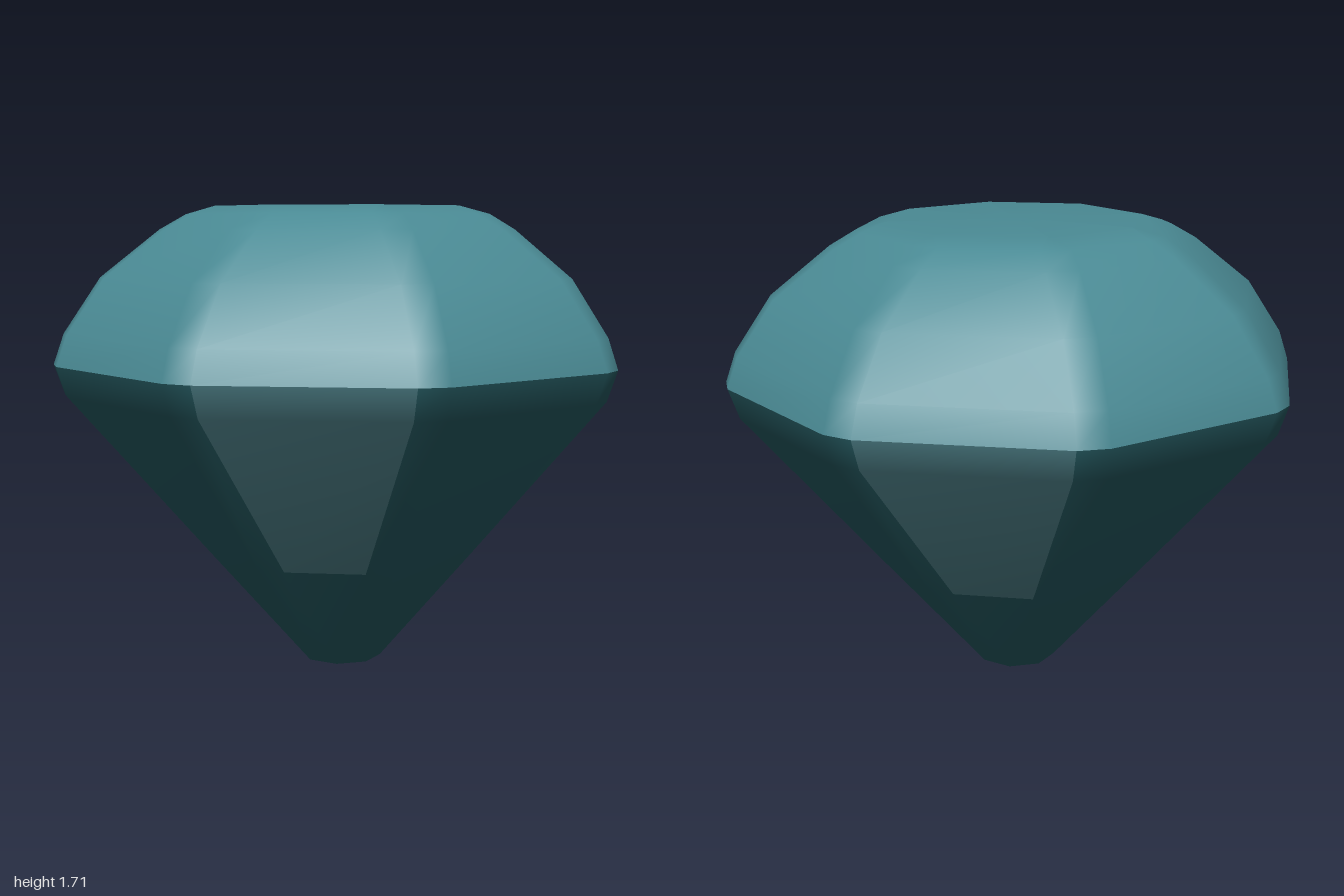
import * as THREE from 'three';

const crownTeal = new THREE.MeshStandardMaterial({ name: 'crownTeal', color: 0x4a8a94 });
const deepTeal = new THREE.MeshStandardMaterial({ name: 'deepTeal', color: 0x265c63 });
const panelTeal = new THREE.MeshStandardMaterial({ name: 'panelTeal', color: 0x4d7f87 });

const BEVEL = 0.06; // how far each facet edge is trimmed at the eight corners
const HALF = Math.tan(Math.PI / 8);

// Sixteen points of an octagon with trimmed corners
function ring([apothem, y, bevel = BEVEL]) {
  const points = [];
  const w = HALF * apothem - bevel;
  for (let k = 0; k < 8; k++) {
    const s = Math.sin(k * Math.PI / 4), c = Math.cos(k * Math.PI / 4);
    for (const side of [-w, w]) points.push(s * apothem + c * side, y, c * apothem - s * side);
  }
  return points;
}

// Skins rings from bottom to top, closes one end, and sorts faces into two materials.
// Large facets dominate the shared normals, so bevels blend softly between them.
function facetedShell(name, profile, capRing, materials, isPanel) {
  const positions = profile.flatMap(ring);
  const faces = [[], []];
  for (let j = 0; j < profile.length - 1; j++) {
    for (let i = 0; i < 16; i++) {
      const a = j * 16 + i, b = j * 16 + (i + 1) % 16;
      faces[isPanel(i, j) ? 1 : 0].push(a, b, b + 16, a, b + 16, a + 16);
    }
  }
  // Flat cap: table on top or culet below
  const centre = positions.length / 3;
  positions.push(0, profile[capRing][1], 0);
  for (let i = 0; i < 16; i++) {
    const a = capRing * 16 + i, b = capRing * 16 + (i + 1) % 16;
    faces[0].push(centre, ...(capRing > 0 ? [a, b] : [b, a]));
  }
  const geometry = new THREE.BufferGeometry();
  geometry.setAttribute('position', new THREE.Float32BufferAttribute(positions, 3));
  geometry.setIndex([...faces[0], ...faces[1]]);
  geometry.addGroup(0, faces[0].length, 0);
  if (faces[1].length) geometry.addGroup(faces[0].length, faces[1].length, 1);
  geometry.computeVertexNormals();
  const mesh = new THREE.Mesh(geometry, materials);
  mesh.name = name;
  return mesh;
}

export function createModel() {
  const gem = new THREE.Group();
  gem.name = 'gem';

  // Domed upper half with a flat table
  const crown = [[1, 1.14], [0.965, 1.25], [0.84, 1.45], [0.64, 1.62], [0.55, 1.675], [0.44, 1.705, 0]];
  gem.add(facetedShell('crown', crown, crown.length - 1, [crownTeal], () => false));

  // Tapering lower half with a lighter panel on each of the four main sides
  const pavilion = [[0.15, 0], [0.492, 0.43], [0.965, 1.03], [1, 1.14]];
  gem.add(facetedShell('pavilion', pavilion, 0, [deepTeal, panelTeal], (i, j) => i % 4 === 0 && j > 0));

  return gem;
}
